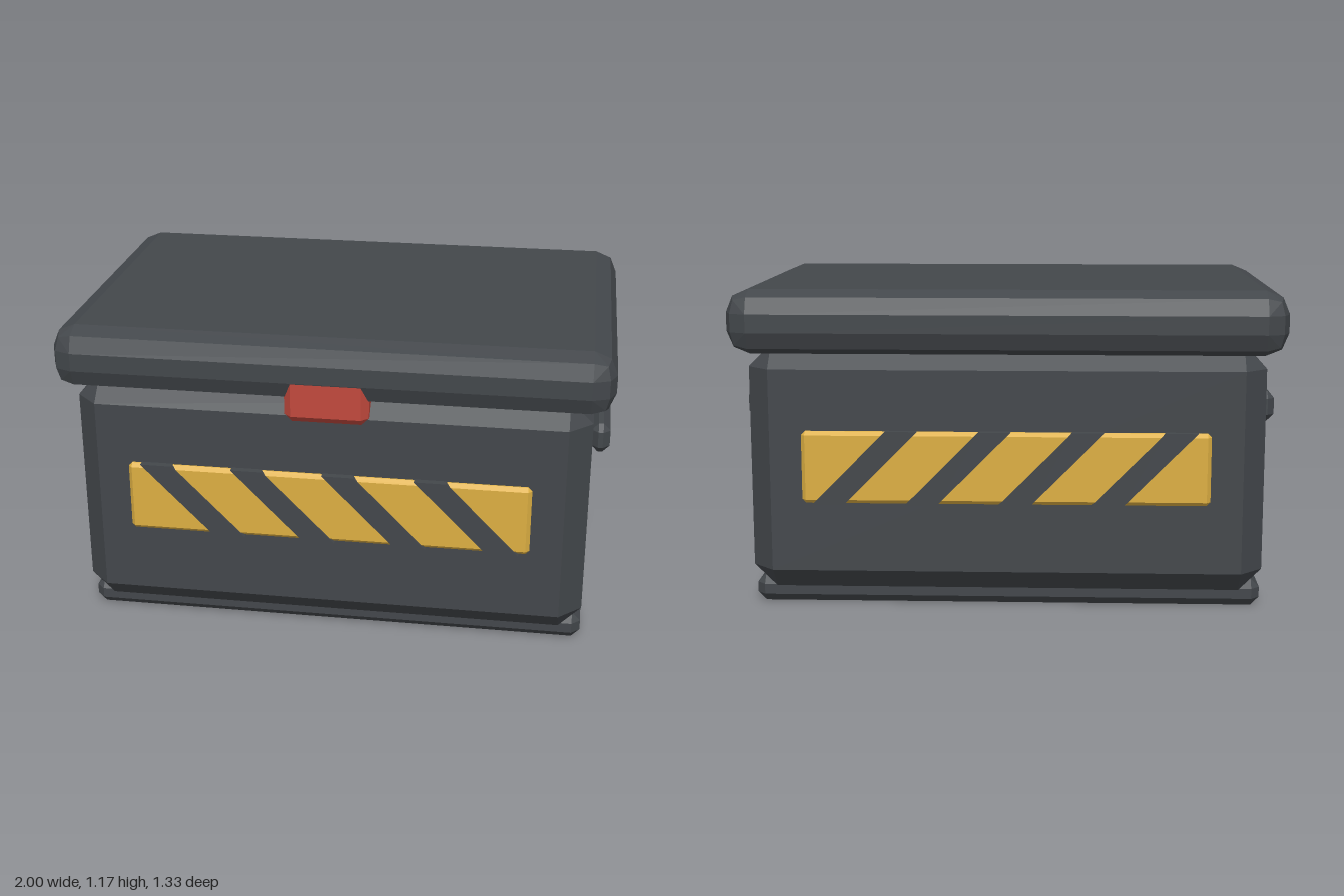
import * as THREE from 'three';
import { ConvexGeometry } from 'three/addons/geometries/ConvexGeometry.js';

const material = (color) => new THREE.MeshStandardMaterial({ color, flatShading: true });

// Box between two corners with chamfered edges, or two-step bevels when rounded.
function bevelBox(min, max, r, rounded = false) {
  const d = Math.SQRT1_2, c = 1 / Math.sqrt(3);
  const dirs = [[1, 0, 0], [0, 1, 0], [0, 0, 1]];
  if (rounded) dirs.push([d, d, 0], [d, 0, d], [0, d, d], [c, c, c]);
  const points = [];
  for (const sx of [0, 1]) for (const sy of [0, 1]) for (const sz of [0, 1]) {
    const side = [sx, sy, sz];
    for (const dir of dirs) {
      points.push(new THREE.Vector3(...side.map((s, i) =>
        s ? max[i] - r + r * dir[i] : min[i] + r - r * dir[i])));
    }
  }
  return new ConvexGeometry(points);
}

export function createModel() {
  const group = new THREE.Group();
  const dark = material(0x43474b);
  const yellow = material(0xdcae42);
  const red = material(0xc1493d);
  const add = (name, geometry, mat) => {
    const mesh = new THREE.Mesh(geometry, mat);
    mesh.name = name;
    group.add(mesh);
    return mesh;
  };

  // Main container and lid
  add('body', bevelBox([-0.93, 0.07, -0.635], [0.93, 0.97, 0.635], 0.082), dark);
  add('lid', bevelBox([-1, 0.938, -0.666], [1, 1.17, 0.666], 0.083, true), dark);

  // Front latch tucked under the lid
  add('latch', bevelBox([-0.15, 0.87, 0.56], [0.15, 1.08, 0.665], 0.026), red);

  // Slanted hazard stripe outline, leaning towards -x at the top
  const y0 = 0.403, y1 = 0.67, lean = 0.132, half = 0.057;
  const stripeShape = new THREE.Shape([
    new THREE.Vector2(lean - half, y0),
    new THREE.Vector2(lean + half, y0),
    new THREE.Vector2(-lean + half, y1),
    new THREE.Vector2(-lean - half, y1),
  ]);
  const stripeGeometry = new THREE.ExtrudeGeometry(stripeShape, { depth: 0.05, bevelEnabled: false });

  for (const s of [-1, 1]) {
    // Runner feet along the length
    const foot = bevelBox([-0.93, 0, -0.1], [0.93, 0.1, 0.1], 0.031);
    add(s > 0 ? 'frontRunner' : 'backRunner', foot, dark).position.z = s * 0.435;

    // Grab bars on the ends
    const handle = bevelBox([-0.035, 0.645, -0.266], [0.035, 0.758, 0.266], 0.026);
    add(s > 0 ? 'leftHandle' : 'rightHandle', handle, dark).position.x = s * 0.965;

    // Hazard panel with four stripes
    const label = s > 0 ? 'front' : 'back';
    const panel = bevelBox([-0.732, 0.405, -0.05], [0.732, 0.668, 0.05], 0.014);
    add(label + 'HazardPanel', panel, yellow).position.z = s * 0.604;
    for (let i = 0; i < 4; i++) {
      add(label + 'HazardStripe', stripeGeometry, dark)
        .position.set(0.005 + (i - 1.5) * 0.333, 0, s * 0.636 - 0.025);
    }
  }
  return group;
}
